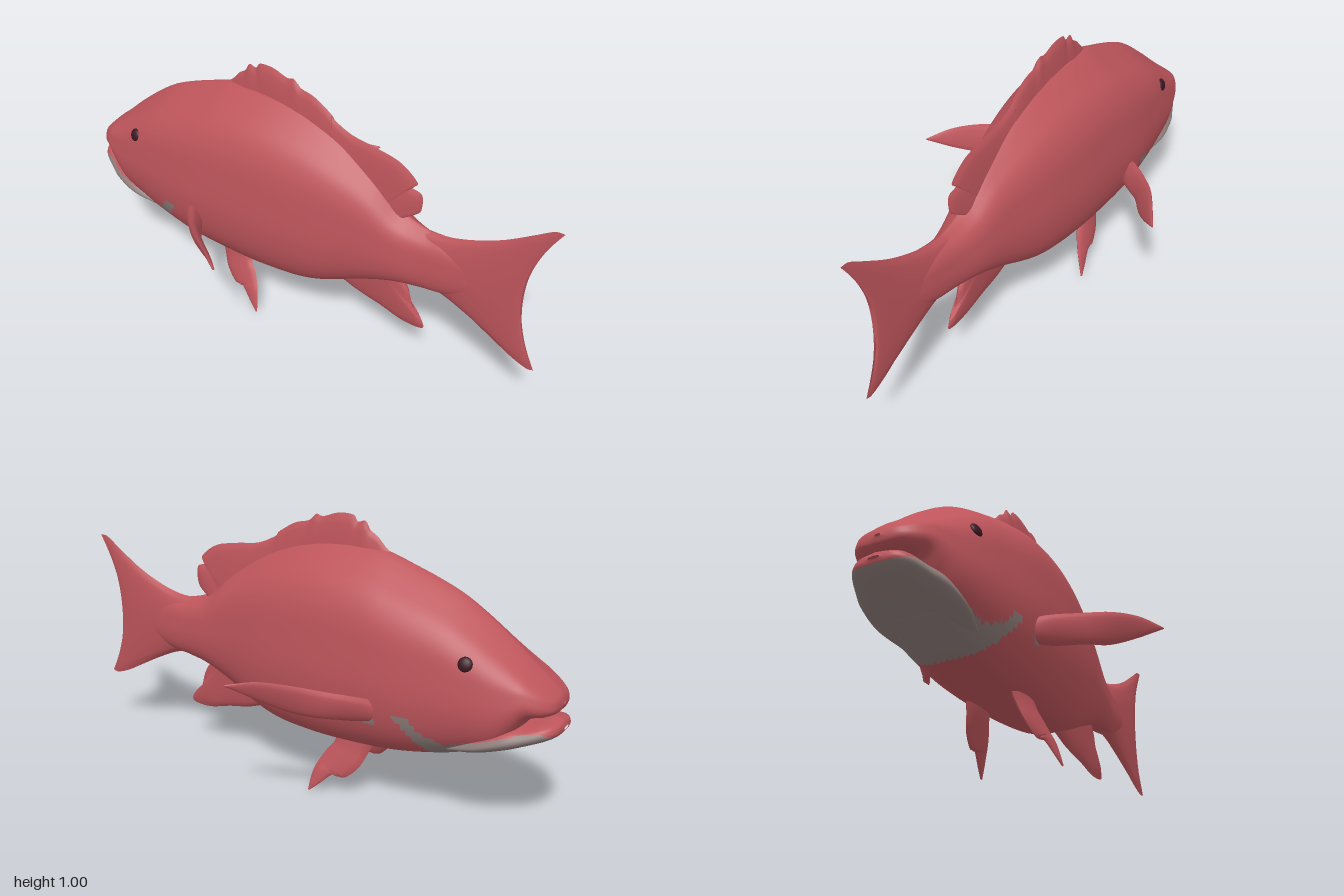
import * as THREE from 'three';

const red = new THREE.MeshStandardMaterial({ color: 0xbd555b });
red.name = 'red skin';
const grey = new THREE.MeshStandardMaterial({ color: 0x8d7d7a });
grey.name = 'grey throat';
const dark = new THREE.MeshStandardMaterial({ color: 0x3a1822 });
dark.name = 'dark eye';

const curve = (pts) => new THREE.CatmullRomCurve3(
  pts.map(([x, y, z = 0]) => new THREE.Vector3(x, y, z)), false, 'catmullrom', 0.5);

// Half cross-section from belly to back: [width fraction, height fraction]
const section = curve([[0, 0], [0.42, 0.005], [0.72, 0.07], [0.92, 0.19], [1, 0.36], [0.96, 0.55],
  [0.88, 0.71], [0.69, 0.83], [0.38, 0.92], [0.13, 0.98], [0, 1]]);

// Height of the throat patch's upper edge along the head
const patchEdge = [[-1.1, 0.37], [-1, 0.372], [-0.95, 0.388], [-0.9, 0.382], [-0.75, 0.33],
  [-0.65, 0.3], [-0.57, 0.33], [-0.53, 0.385], [-0.47, 0.392], [-0.4, 0.392]];
function isThroat(x, y) {
  if (Math.hypot(x + 0.385, y - 0.35) < 0.02) return true;
  if (x > -0.62 + (y - 0.2) * 0.8) return false;
  const k = patchEdge.findIndex((p) => p[0] > x);
  if (k < 1) return false;
  const [a, b] = [patchEdge[k - 1], patchEdge[k]];
  return y < a[1] + (b[1] - a[1]) * (x - a[0]) / (b[0] - a[0]);
}

// Loft through stations [x, top, bottom, half width], with the throat as a second group
function loft(name, stations, rows, half) {
  const tops = curve(stations.map((s) => [s[0], s[1]]));
  const lows = curve(stations.map((s) => [s[0], s[2], s[3]]));
  const ring = half * 2, pos = [], skin = [], throat = [];
  for (let i = 0; i <= rows; i++) {
    const t = tops.getPoint(i / rows), b = lows.getPoint(i / rows);
    for (let j = 0; j < ring; j++) {
      const s = section.getPoint(j <= half ? j / half : 2 - j / half);
      pos.push(t.x, b.y + (t.y - b.y) * s.y, (j <= half ? 1 : -1) * s.x * Math.max(b.z, 0.001));
    }
  }
  const add = (...tri) => {
    const mid = (k) => (pos[tri[0] * 3 + k] + pos[tri[1] * 3 + k] + pos[tri[2] * 3 + k]) / 3;
    (isThroat(mid(0), mid(1)) ? throat : skin).push(...tri);
  };
  for (let i = 0; i < rows; i++) for (let j = 0; j < ring; j++) {
    const n = (j + 1) % ring, a = i * ring + j, b = a + ring, c = i * ring + n, d = c + ring;
    add(a, b, c);
    add(b, d, c);
  }
  const geo = new THREE.BufferGeometry();
  geo.setAttribute('position', new THREE.Float32BufferAttribute(pos, 3));
  geo.setIndex([...skin, ...throat]);
  geo.addGroup(0, skin.length, 0);
  geo.addGroup(skin.length, throat.length, 1);
  geo.computeVertexNormals();
  const mesh = new THREE.Mesh(geo, [red, grey]);
  mesh.name = name;
  return mesh;
}

// Two-sided tapering sheet between two edge curves; notch hollows the trailing edge
function fin(name, edgeA, edgeB, thickness, { nu = 48, nv = 12, notch = 0 } = {}) {
  const A = curve(edgeA), B = curve(edgeB), pos = [], idx = [];
  const at = (u, v) => {
    const p = A.getPoint(u).lerp(B.getPoint(u), v);
    p.x -= notch * u * u * 4 * v * (1 - v);
    return p;
  };
  const e = 0.01, row = nv + 1, sheet = (nu + 1) * row;
  for (const side of [1, -1]) for (let i = 0; i <= nu; i++) for (let j = 0; j <= nv; j++) {
    const u = i / nu, v = j / nv, p = at(u, v);
    const du = at(Math.min(u + e, 1), v).sub(at(Math.max(u - e, 0), v));
    const dv = at(u, Math.min(v + e, 1)).sub(at(u, Math.max(v - e, 0)));
    p.addScaledVector(du.cross(dv).normalize(), side * thickness(u, v));
    pos.push(p.x, p.y, p.z);
  }
  for (let i = 0; i < nu; i++) for (let j = 0; j < nv; j++) {
    const a = i * row + j, b = a + row;
    idx.push(a, b, a + 1, b, b + 1, a + 1);
    const c = a + sheet, d = b + sheet;
    idx.push(c, c + 1, d, d, c + 1, d + 1);
  }
  const geo = new THREE.BufferGeometry();
  geo.setAttribute('position', new THREE.Float32BufferAttribute(pos, 3));
  geo.setIndex(idx);
  geo.computeVertexNormals();
  const mat = red.side === THREE.DoubleSide ? red : Object.assign(red, { side: THREE.DoubleSide });
  const mesh = new THREE.Mesh(geo, mat);
  mesh.name = name;
  return mesh;
}

export function createModel() {
  const fish = new THREE.Group();
  fish.name = 'fish';

  // Body with upper lip, and the lower jaw
  fish.add(loft('body', [
    [-0.99, 0.475, 0.465, 0.01], [-0.98, 0.5, 0.445, 0.07], [-0.95, 0.53, 0.43, 0.11],
    [-0.9, 0.57, 0.415, 0.14], [-0.86, 0.605, 0.36, 0.155], [-0.8, 0.655, 0.295, 0.17],
    [-0.7, 0.73, 0.262, 0.187], [-0.6, 0.79, 0.235, 0.2], [-0.45, 0.85, 0.21, 0.212],
    [-0.3, 0.895, 0.2, 0.21], [-0.1, 0.9, 0.2, 0.195], [0.1, 0.85, 0.225, 0.162],
    [0.3, 0.74, 0.31, 0.112], [0.42, 0.64, 0.355, 0.085], [0.52, 0.605, 0.372, 0.06],
    [0.62, 0.595, 0.385, 0.042], [0.75, 0.55, 0.43, 0.02], [0.8, 0.49, 0.48, 0.003]], 160, 40));
  fish.add(loft('lowerJaw', [
    [-1, 0.395, 0.385, 0.02], [-0.99, 0.412, 0.37, 0.07], [-0.96, 0.42, 0.352, 0.105],
    [-0.9, 0.407, 0.328, 0.135], [-0.84, 0.4, 0.306, 0.158], [-0.75, 0.36, 0.282, 0.165],
    [-0.65, 0.31, 0.265, 0.14]], 60, 32));

  // Tail: upper edge, lower edge, hollow rear
  fish.add(fin('tailFin',
    [[0.5, 0.6], [0.6, 0.61], [0.7, 0.642], [0.8, 0.69], [0.9, 0.755], [0.96, 0.795], [0.995, 0.8]],
    [[0.5, 0.375], [0.6, 0.365], [0.7, 0.325], [0.8, 0.275], [0.88, 0.235], [0.94, 0.215], [0.968, 0.22]],
    (u, v) => (0.038 * (1 - u) + 0.004) * Math.sqrt(4 * v * (1 - v)), { nv: 24, notch: 0.09 }));

  // Dorsal fin with ragged crest and rear lobes
  const median = (t) => (u, v) => t * Math.sqrt(1 - v) * Math.min(1, 0.3 + 6 * u * (1 - u));
  fish.add(fin('dorsalFin',
    [[-0.45, 0.78], [-0.2, 0.8], [0, 0.79], [0.2, 0.7], [0.34, 0.6], [0.38, 0.56]],
    [[-0.42, 0.85], [-0.34, 0.89], [-0.3, 0.93], [-0.27, 0.95], [-0.25, 0.98], [-0.22, 0.975],
      [-0.2, 0.997], [-0.14, 0.998], [-0.08, 0.98], [-0.05, 0.985], [-0.02, 0.96], [0.04, 0.945],
      [0.11, 0.905], [0.12, 0.89], [0.2, 0.855], [0.3, 0.842], [0.4, 0.822], [0.47, 0.77],
      [0.445, 0.745], [0.49, 0.73], [0.49, 0.665], [0.46, 0.645], [0.42, 0.65], [0.39, 0.62]],
    median(0.03), { nu: 120 }));

  // Anal fin
  fish.add(fin('analFin',
    [[0.06, 0.3], [0.2, 0.36], [0.32, 0.4], [0.38, 0.42]],
    [[0.06, 0.23], [0.13, 0.238], [0.25, 0.2], [0.35, 0.182], [0.45, 0.16], [0.53, 0.167],
      [0.53, 0.2], [0.49, 0.24], [0.47, 0.3], [0.44, 0.34], [0.39, 0.35]],
    median(0.03), { nu: 72 }));

  for (const s of [1, -1]) {
    const side = s > 0 ? 'Back' : 'Front';
    const flip = (pts) => pts.map(([x, y, z]) => [x, y, z * s]);
    const blade = (t) => (u, v) => t * (1 - 0.85 * u) * Math.sqrt(4 * v * (1 - v));

    // Pectoral fin, sweeping out and back
    fish.add(fin(s > 0 ? 'frontPectoralFin' : 'rearPectoralFin',
      flip([[-0.42, 0.41, 0.17], [-0.37, 0.435, 0.235], [-0.29, 0.46, 0.31], [-0.2, 0.487, 0.385],
        [-0.1, 0.5, 0.445], [-0.01, 0.487, 0.495]]),
      flip([[-0.4, 0.34, 0.17], [-0.33, 0.342, 0.225], [-0.25, 0.362, 0.31], [-0.17, 0.382, 0.36],
        [-0.09, 0.425, 0.42], [-0.005, 0.483, 0.495]]),
      blade(0.026), { nu: 32 }));

    // Pelvic fin, hanging below the belly
    fish.add(fin(s > 0 ? 'frontPelvicFin' : 'rearPelvicFin',
      flip([[-0.36, 0.24, 0.08], [-0.33, 0.175, 0.092], [-0.3, 0.115, 0.112], [-0.25, 0.072, 0.127],
        [-0.21, 0.078, 0.132], [-0.16, 0.035, 0.147], [-0.125, 0.005, 0.157]]),
      flip([[-0.2, 0.24, 0.08], [-0.19, 0.19, 0.092], [-0.165, 0.155, 0.105], [-0.145, 0.12, 0.12],
        [-0.13, 0.085, 0.135], [-0.122, 0.045, 0.147], [-0.118, 0.005, 0.157]]),
      blade(0.022), { nu: 32 }));

    // Eye
    const eye = new THREE.Mesh(new THREE.SphereGeometry(0.025, 16, 12), dark);
    eye.name = s > 0 ? 'frontEye' : 'rearEye';
    eye.scale.z = 0.5;
    eye.position.set(-0.71, 0.592, s * 0.16);
    eye.rotation.set(-s * 0.35, -s * 0.15, 0);
    fish.add(eye);
  }
  return fish;
}
